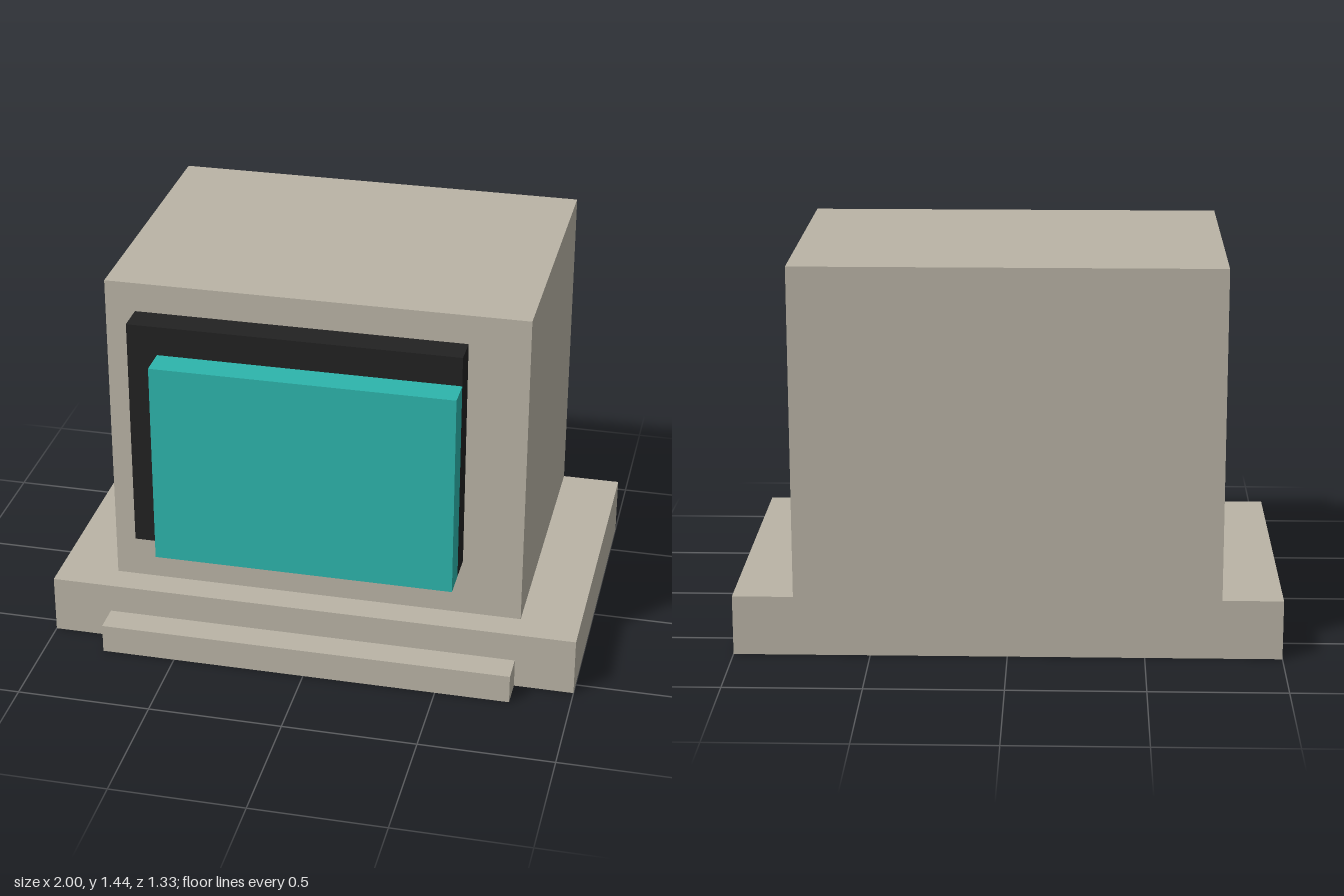
import * as THREE from 'three';

const U = 1 / 9; // modular unit of the blocky design

const beige = new THREE.MeshStandardMaterial({ name: 'beigeCase', color: 0xbab4a6, side: THREE.DoubleSide });
const black = new THREE.MeshStandardMaterial({ name: 'blackBezel', color: 0x222222 });
const teal = new THREE.MeshStandardMaterial({ name: 'tealScreen', color: 0x2db5ac });

// Box given by its extents in units; openBottom leaves out the underside
function block(name, material, [x0, x1], [y0, y1], [z0, z1], openBottom = false) {
  const geometry = new THREE.BoxGeometry((x1 - x0) * U, (y1 - y0) * U, (z1 - z0) * U);
  if (openBottom) {
    const index = Array.from(geometry.index.array);
    index.splice(18, 6); // the -y face
    geometry.setIndex(index);
    geometry.clearGroups();
  }
  const mesh = new THREE.Mesh(geometry, material);
  mesh.name = name;
  mesh.position.set((x0 + x1) / 2 * U, (y0 + y1) / 2 * U, (z0 + z1) / 2 * U);
  return mesh;
}

export function createModel() {
  const group = new THREE.Group();
  group.name = 'desktopComputer';
  group.add(
    // Hollow case parts, open underneath
    block('base', beige, [-9, 9], [0, 2], [-6, 5], true),
    block('keyboardLedge', beige, [-7, 7], [0, 1], [5, 6], true),
    block('monitorBody', beige, [-7, 7], [2, 13], [-6, 4], true),
    // Display
    block('bezel', black, [-6, 5], [4, 12], [4, 5]),
    block('screen', teal, [-5, 5], [4, 11], [5, 6])
  );
  return group;
}
